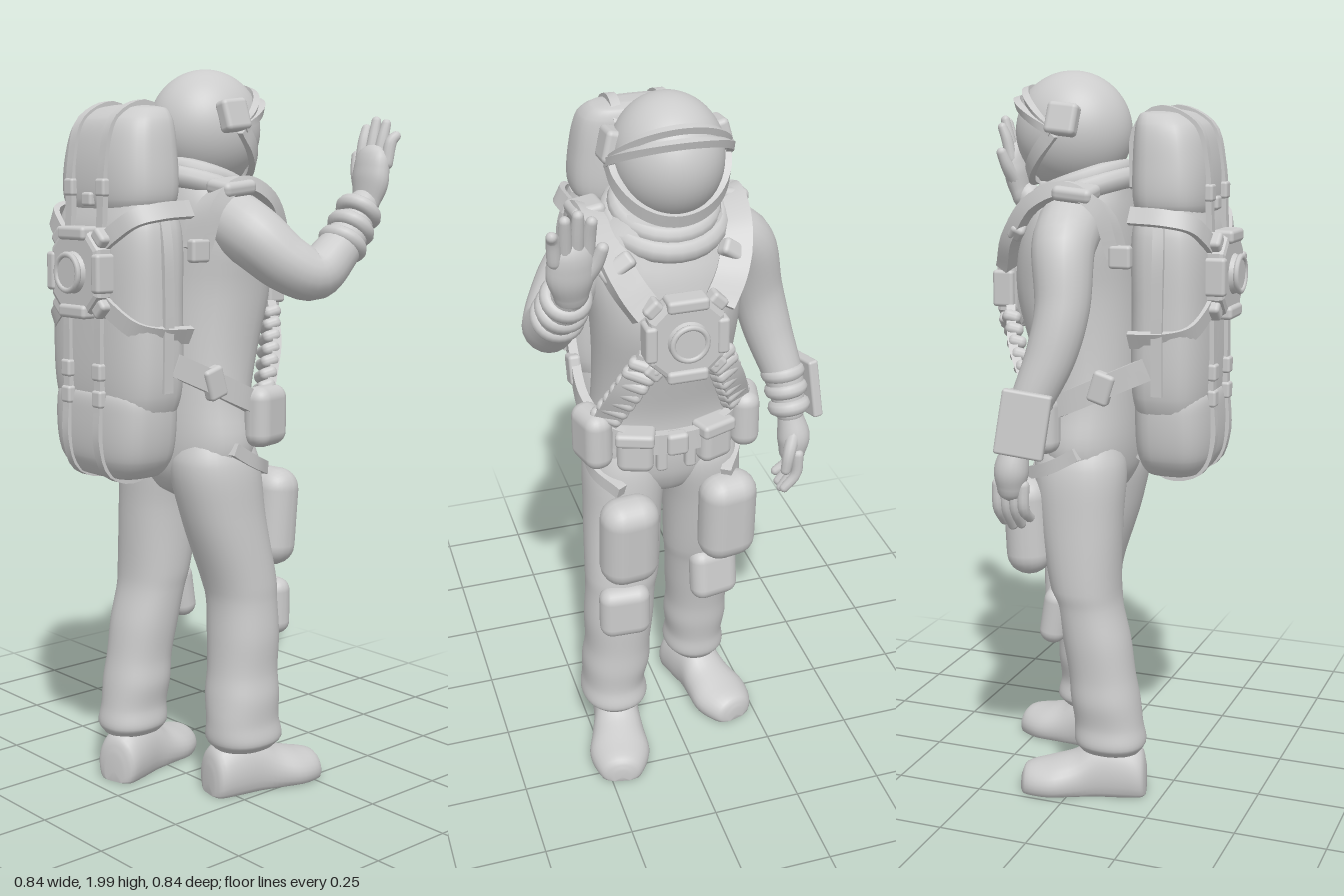
import * as THREE from 'three';
import { toCreasedNormals } from 'three/addons/utils/BufferGeometryUtils.js';
import { RoundedBoxGeometry } from 'three/addons/geometries/RoundedBoxGeometry.js';

const V = (x, y, z) => new THREE.Vector3(x, y, z);
const material = new THREE.MeshStandardMaterial({ color: 0xcccccc, roughness: 0.8 });
const CX = 0.015; // body centre line

export function createModel() {
  const model = new THREE.Group();
  const add = (name, geo, pos = [0, 0, 0], rot = [0, 0, 0], parent = model) => {
    const mesh = new THREE.Mesh(geo, material);
    mesh.name = name;
    mesh.position.set(...pos);
    mesh.rotation.set(...rot);
    parent.add(mesh);
    return mesh;
  };
  const box = (name, size, pos, rot, parent, r = 0.3) =>
    add(name, new RoundedBoxGeometry(...size, 3, Math.min(...size) * r), pos, rot, parent);

  // Closed skin over a list of equal rings
  const skin = (rings) => {
    const n = rings[0].length, p = [], idx = [];
    rings.forEach((r) => r.forEach((v) => p.push(v.x, v.y, v.z)));
    for (let i = 0; i < rings.length - 1; i++) for (let j = 0; j < n; j++) {
      const a = i * n + j, b = i * n + (j + 1) % n;
      idx.push(a, a + n, b, b, a + n, b + n);
    }
    [0, rings.length - 1].forEach((k) => {
      const c = rings[k].reduce((s, v) => s.add(v), V(0, 0, 0)).divideScalar(n), ci = p.length / 3;
      p.push(c.x, c.y, c.z);
      for (let j = 0; j < n; j++) {
        const a = k * n + j, b = k * n + (j + 1) % n;
        if (k) idx.push(ci, b, a); else idx.push(ci, a, b);
      }
    });
    const g = new THREE.BufferGeometry();
    g.setAttribute('position', new THREE.Float32BufferAttribute(p, 3));
    g.setIndex(idx);
    g.computeVertexNormals();
    return g;
  };

  // Upright body from horizontal sections [y, cx, cz, rx, rz], lowest first
  const loft = (name, sections, power = 1, steps = 40) => {
    const mid = new THREE.CatmullRomCurve3(sections.map((s) => V(s[1], s[0], s[2])));
    const rad = new THREE.CatmullRomCurve3(sections.map((s) => V(s[3], s[4], s[0])));
    const bend = (c) => Math.sign(c) * Math.abs(c) ** power;
    const rings = [];
    for (let i = 0; i <= steps; i++) {
      const c = mid.getPoint(i / steps), r = rad.getPoint(i / steps);
      rings.push(Array.from({ length: 32 }, (_, j) => {
        const a = j / 32 * Math.PI * 2;
        return V(c.x + r.x * bend(Math.cos(a)), c.y, c.z + r.y * bend(Math.sin(a)));
      }));
    }
    return add(name, skin(rings));
  };

  // Round-ended limb through points [x, y, z, radius]
  const limb = (name, pts, steps = 24, n = 20) => {
    const curve = new THREE.CatmullRomCurve3(pts.map((q) => V(q[0], q[1], q[2])));
    const radii = new THREE.CatmullRomCurve3(pts.map((q, i) => V(q[3], i, 0)));
    const { tangents, normals, binormals } = curve.computeFrenetFrames(steps);
    const rings = [];
    const ring = (i, scale, shift) => {
      const t = curve.getUtoTmapping(i / steps), r = radii.getPoint(t).x;
      const c = curve.getPoint(t).addScaledVector(tangents[i], shift * r);
      rings.push(Array.from({ length: n }, (_, j) => {
        const a = j / n * Math.PI * 2;
        return c.clone().addScaledVector(normals[i], Math.cos(a) * r * scale)
          .addScaledVector(binormals[i], -Math.sin(a) * r * scale);
      }));
    };
    for (const a of [1.5, 1.1, 0.7, 0.35]) ring(0, Math.cos(a), -Math.sin(a));
    for (let i = 0; i <= steps; i++) ring(i, 1, 0);
    for (const a of [0.35, 0.7, 1.1, 1.5]) ring(steps, Math.cos(a), Math.sin(a));
    return add(name, skin(rings));
  };

  // Flat band along a path, its width lying along the side vector
  const strap = (name, pts, side, width, thick, steps = 20) => {
    const curve = new THREE.CatmullRomCurve3(pts.map((q) => V(...q)));
    const rings = [];
    for (let i = 0; i <= steps; i++) {
      const T = curve.getTangentAt(i / steps), c = curve.getPointAt(i / steps);
      const u = V(...side).addScaledVector(T, -V(...side).dot(T)).normalize();
      const v = u.clone().cross(T);
      rings.push([[1, 1], [-1, 1], [-1, -1], [1, -1]].map(([a, b]) =>
        c.clone().addScaledVector(u, a * width / 2).addScaledVector(v, b * thick / 2)));
    }
    return add(name, toCreasedNormals(skin(rings), 0.7));
  };
  const ringAt = (name, pos, dir, r, tube) => {
    const m = add(name, new THREE.TorusGeometry(r, tube, 10, 28), pos);
    m.quaternion.setFromUnitVectors(V(0, 0, 1), V(...dir).normalize());
  };

  // Suit body and legs
  loft('torso', [[0.845, CX, 0, 0.04, 0.05], [0.87, CX, 0, 0.1, 0.09], [0.93, CX, 0, 0.19, 0.12],
    [1.0, CX, 0, 0.214, 0.13], [1.12, CX, 0, 0.195, 0.13], [1.26, CX, -0.02, 0.19, 0.145],
    [1.42, CX, -0.045, 0.2, 0.16], [1.55, CX, -0.04, 0.215, 0.15], [1.64, CX, -0.03, 0.2, 0.13],
    [1.71, CX, -0.03, 0.13, 0.115]], 0.9);
  loft('forwardLeg', [[0.14, 0.18, -0.06, 0.075, 0.09], [0.165, 0.18, -0.06, 0.096, 0.11],
    [0.22, 0.18, -0.055, 0.09, 0.106], [0.29, 0.172, -0.06, 0.098, 0.104], [0.36, 0.167, -0.065, 0.094, 0.098],
    [0.46, 0.163, -0.07, 0.1, 0.097], [0.56, 0.156, -0.07, 0.1, 0.095], [0.61, 0.15, -0.065, 0.105, 0.1],
    [0.8, 0.133, -0.02, 0.11, 0.118], [0.95, 0.12, 0, 0.112, 0.126], [1.03, 0.12, 0, 0.08, 0.1]], 0.92, 60);
  loft('rearLeg', [[0.14, -0.12, 0.1, 0.07, 0.085], [0.165, -0.12, 0.1, 0.09, 0.1],
    [0.22, -0.12, 0.095, 0.085, 0.096], [0.29, -0.12, 0.085, 0.093, 0.096], [0.36, -0.12, 0.075, 0.09, 0.092],
    [0.46, -0.118, 0.058, 0.097, 0.093], [0.56, -0.115, 0.035, 0.102, 0.09], [0.61, -0.115, 0.025, 0.108, 0.095],
    [0.8, -0.108, 0.008, 0.11, 0.115], [0.95, -0.093, 0, 0.112, 0.126], [1.03, -0.09, 0, 0.08, 0.1]], 0.92, 60);

  // Boots: lengthwise cross-sections with a flat sole [z, half width, height]
  const boot = (name, x, z, turn) => {
    const outline = new THREE.CatmullRomCurve3([[-0.255, 0.025, 0.05], [-0.24, 0.06, 0.08], [-0.17, 0.088, 0.1],
      [-0.1, 0.078, 0.125], [-0.04, 0.068, 0.17], [0.03, 0.068, 0.17], [0.085, 0.062, 0.14], [0.1, 0.03, 0.09]]
      .map((q) => V(...q)));
    const rings = outline.getPoints(28).map((q) => Array.from({ length: 28 }, (_, j) => {
      const a = j / 28 * Math.PI * 2;
      return V(-q.y * Math.cos(a), Math.max(0.01, q.z * (0.4 + 0.6 * Math.sin(a))), q.x);
    }));
    add(name, skin(rings), [x, 0, z], [0, turn, 0]);
  };
  boot('forwardBoot', 0.172, -0.05, -0.2);
  boot('rearBoot', -0.115, 0.1, 0.28);

  // Thigh pouches and knee pads
  box('forwardThighPouch', [0.165, 0.275, 0.125], [0.155, 0.78, -0.172], [-0.08, 0.1, 0], model, 0.48);
  box('rearThighPouch', [0.165, 0.275, 0.125], [-0.142, 0.78, -0.132], [-0.05, 0.15, 0], model, 0.48);
  box('forwardKneePad', [0.145, 0.16, 0.075], [0.168, 0.53, -0.16], [0, -0.05, 0], model, 0.48);
  box('rearKneePad', [0.145, 0.16, 0.075], [-0.13, 0.53, -0.055], [0.15, 0.2, 0], model, 0.48);

  // Helmet: visor ball, hood shells, brim and chin frame
  const helmet = new THREE.Group();
  helmet.name = 'helmet';
  helmet.position.set(0.01, 1.84, -0.06);
  helmet.scale.set(0.145, 0.16, 0.162);
  model.add(helmet);
  add('visor', new THREE.SphereGeometry(0.97, 40, 28), [0, 0, 0], [0, 0, 0], helmet);
  const hood = new THREE.SphereGeometry(1, 40, 20, 0, Math.PI * 2, 0, Math.PI * 0.5);
  add('hoodTop', hood, [0, 0, 0], [0.48, 0, 0], helmet);
  add('hoodBack', hood, [0, 0, 0], [2.1, 0, 0], helmet);
  const frame = (name, rise, grow, w) => strap(name, Array.from({ length: 11 }, (_, i) => {
    const a = i / 10 * Math.PI, f = Math.sin(a);
    return [0.01 + 0.148 * grow * Math.cos(a), 1.84 + rise * f,
      -0.06 - f * grow * Math.sqrt(1 - (rise / 0.165) ** 2) * 0.162];
  }), [0, 1, -0.3], w, 0.018, 32);
  frame('visorBrim', 0.085, 1.06, 0.02);
  frame('visorUpperBand', 0.112, 1.02, 0.018);
  frame('chinFrame', -0.125, 1.03, 0.035);
  for (const s of [-1, 1]) box('earBox', [0.045, 0.085, 0.085], [0.01 + s * 0.142, 1.875, -0.035], [0.1, 0, s * 0.25], model, 0.3);
  [[1.705, 0.12, 0.026], [1.675, 0.138, 0.03]].forEach(([y, r, t]) =>
    ringAt('neckCollar', [0.012, y, -0.035], [0, 1, -0.36], r, t));

  // Lowered arm with wrist rings, forearm console and hand
  limb('loweredArm', [[-0.14, 1.6, -0.01, 0.088], [-0.215, 1.55, 0.0, 0.083], [-0.263, 1.4, 0.015, 0.072],
    [-0.293, 1.28, -0.005, 0.066], [-0.33, 1.14, -0.055, 0.053], [-0.338, 1.06, -0.08, 0.042]], 30);
  [1.165, 1.12, 1.072].forEach((y, i) => ringAt('loweredWristRing',
    [-0.325 - i * 0.006, y, -0.05 - i * 0.014], [-0.12, -1, -0.3], 0.04 - i * 0.001, 0.022));
  box('forearmConsole', [0.03, 0.17, 0.13], [-0.393, 1.115, -0.042], [0.15, 0.2, -0.1], model, 0.25);
  limb('loweredPalm', [[-0.34, 1.04, -0.085, 0.036], [-0.348, 0.98, -0.095, 0.046], [-0.345, 0.935, -0.098, 0.038]], 10);
  for (let i = 0; i < 4; i++) {
    const z = -0.134 + i * 0.024, d = [0.012, 0, 0.006, 0.025][i];
    limb('loweredFinger', [[-0.348, 0.94, z, 0.0165], [-0.345, 0.875, z, 0.0155], [-0.313, 0.822 + d, z + 0.002, 0.0135]], 8, 10);
  }
  limb('loweredThumb', [[-0.34, 1.0, -0.115, 0.021], [-0.32, 0.95, -0.138, 0.018], [-0.312, 0.9, -0.14, 0.015]], 8, 10);

  // Raised arm with wrist rings and waving hand
  limb('raisedArm', [[0.16, 1.6, -0.02, 0.088], [0.24, 1.56, -0.03, 0.085], [0.31, 1.49, -0.085, 0.076],
    [0.347, 1.462, -0.145, 0.068], [0.35, 1.51, -0.215, 0.062], [0.342, 1.59, -0.3, 0.05], [0.338, 1.64, -0.335, 0.042]], 36);
  [[1.54, -0.25], [1.58, -0.285], [1.622, -0.318]].forEach(([y, z], i) =>
    ringAt('raisedWristRing', [0.348 - i * 0.004, y, z], [-0.07, 0.75, -0.65], 0.047 - i * 0.002, 0.022));
  limb('raisedPalm', [[0.335, 1.65, -0.345, 0.044], [0.338, 1.7, -0.362, 0.058], [0.338, 1.745, -0.373, 0.056]], 10)
    .geometry.translate(0, 0, 0.365).scale(1, 1, 0.62).translate(0, 0, -0.365);
  for (let i = 0; i < 4; i++) {
    const x = 0.298 + i * 0.027, tip = 0.292 + i * 0.032, y = [1.85, 1.87, 1.862, 1.83][i], z = -0.004 * i;
    limb('raisedFinger', [[x, 1.75, -0.37 + z, 0.0175], [(x + tip) / 2, 1.81, -0.383 + z, 0.0165], [tip, y - 0.008, -0.395 + z, 0.0135]], 8, 12);
  }
  limb('raisedThumb', [[0.31, 1.685, -0.36, 0.024], [0.28, 1.73, -0.375, 0.019], [0.266, 1.77, -0.387, 0.015]], 8, 12);

  // Backpack bags
  loft('packBody', [[1.08, CX, 0.25, 0.17, 0.085], [1.16, CX, 0.25, 0.2, 0.103], [1.4, CX, 0.25, 0.205, 0.105],
    [1.58, CX, 0.245, 0.195, 0.103], [1.66, CX, 0.24, 0.165, 0.085]], 0.65);
  loft('packTopBag', [[1.61, CX, 0.24, 0.14, 0.08], [1.66, CX, 0.24, 0.175, 0.1], [1.78, CX, 0.236, 0.17, 0.1],
    [1.86, CX, 0.225, 0.15, 0.085], [1.89, CX, 0.21, 0.12, 0.06], [1.9, CX, 0.205, 0.05, 0.025]], 0.7);
  loft('packBottomBag', [[0.925, CX, 0.255, 0.06, 0.03], [0.94, CX, 0.255, 0.13, 0.075], [0.99, CX, 0.258, 0.17, 0.1],
    [1.1, CX, 0.258, 0.187, 0.106], [1.16, CX, 0.255, 0.18, 0.1], [1.18, CX, 0.25, 0.15, 0.08]], 0.65);

  // Compression straps over the pack, with buckles
  for (const x of [-0.055, 0.078]) {
    strap('packStrap', [[x, 1.7, 0.137], [x, 1.85, 0.143], [x, 1.903, 0.205], [x, 1.86, 0.308], [x, 1.76, 0.338],
      [x, 1.62, 0.347], [x, 1.4, 0.357], [x, 1.16, 0.36], [x, 1.03, 0.365], [x, 0.95, 0.335], [x, 0.925, 0.25],
      [x, 0.98, 0.155]], [1, 0, 0], 0.026, 0.016, 60);
    for (const y of [1.69, 1.22, 1.15]) box('packBuckle', [0.038, 0.045, 0.025], [x, y, y > 1.5 ? 0.345 : 0.362]);
  }
  box('packCentreBuckle', [0.04, 0.035, 0.025], [CX, 1.66, 0.34]);

  // Octagonal control unit, used on the back and the chest
  const unit = (name, pos, turn) => {
    const g = new THREE.Group();
    g.name = name;
    g.position.set(...pos);
    g.rotation.y = turn;
    model.add(g);
    const w = 0.085, h = 0.095, c = 0.04;
    const oct = new THREE.Shape([[w, h - c], [w - c, h], [c - w, h], [-w, h - c], [-w, c - h], [c - w, -h], [w - c, -h], [w, c - h]]
      .map(([a, b]) => new THREE.Vector2(a, b)));
    add('unitCase', new THREE.ExtrudeGeometry(oct, { depth: 0.03, bevelSize: 0.014, bevelThickness: 0.014, bevelSegments: 2 }), [0, 0, 0], [0, 0, 0], g);
    add('unitDial', new THREE.CylinderGeometry(0.045, 0.055, 0.022, 28), [0, 0, 0.053], [Math.PI / 2, 0, 0], g);
    add('unitDialRim', new THREE.TorusGeometry(0.046, 0.008, 8, 28), [0, 0, 0.062], [0, 0, 0], g);
    for (const s of [-1, 1]) {
      box('unitSideGrip', [0.032, 0.1, 0.06], [s * 0.095, 0, 0.02], [0, 0, 0], g);
      box('unitBar', [0.11, 0.035, 0.06], [0, s * 0.1, 0.025], [0, 0, 0], g);
      for (const t of [-1, 1]) box('unitCorner', [0.05, 0.035, 0.045], [s * 0.085, t * 0.09, 0.012], [0, 0, -s * t * 0.75], g);
    }
  };
  unit('backUnit', [CX, 1.475, 0.35], 0);
  unit('chestUnit', [CX, 1.42, -0.208], Math.PI);

  // Paired harness, belt and pouches
  for (const s of [-1, 1]) {
    const m = ([x, y, z]) => [CX + s * x, y, z];
    const band = (name, pts, side, w, t, n) => strap(name, pts.map(m), [side[0] * s, side[1], side[2]], w, t, n);
    for (const t of [-1, 1]) band('packDiagonalStrap', [[0.07, 1.475 + t * 0.07, 0.356], [0.12, 1.475 + t * 0.105, 0.348],
      [0.172, 1.475 + t * 0.14, 0.325], [0.2, 1.475 + t * 0.155, 0.265], [0.2, 1.475 + t * 0.16, 0.17]], [-t * 0.5, 1, 0], 0.045, 0.016);
    band('packSideStrap', [[0.168, 1.65, 0.24], [0.202, 1.55, 0.25], [0.208, 1.4, 0.25], [0.203, 1.17, 0.25]], [0, 0, 1], 0.03, 0.014);
    box('packSideBuckle', [0.03, 0.06, 0.06], m([0.21, 1.53, 0.15]));
    band('shoulderStrap', [[0.18, 1.53, 0.13], [0.186, 1.64, 0.09], [0.185, 1.69, 0.0], [0.175, 1.655, -0.1],
      [0.145, 1.57, -0.17], [0.095, 1.49, -0.208]], [1, 0.3, 0], 0.08, 0.038, 28);
    box('shoulderPad', [0.09, 0.04, 0.11], m([0.19, 1.69, 0.02]), [0.1, 0, -s * 0.15], model, 0.4);
    box('shoulderBuckle', [0.095, 0.045, 0.04], m([0.155, 1.6, -0.155]), [0.5, s * -0.4, -s * 0.5]);
    band('lowerHarness', [[0.085, 1.36, -0.21], [0.14, 1.26, -0.18], [0.185, 1.14, -0.115]], [1, 0.5, 0.3], 0.07, 0.025);
    for (let i = 0; i < 7; i++) {
      const k = i / 6;
      box('harnessRib', [0.088, 0.034, 0.05], m([0.1 + 0.08 * k, 1.34 - 0.19 * k, -0.207 + 0.075 * k + 0.02 * k * k]), [0.3, -s * 0.4, s * 0.4], model, 0.45);
    }
    band('hipBelt', [[0.195, 1.24, 0.22], [0.21, 1.19, 0.11], [0.214, 1.13, -0.02], [0.17, 1.09, -0.11],
      [0.08, 1.07, -0.15], [0, 1.065, -0.155]], [0, 1, 0], 0.06, 0.025, 30);
    box('hipBeltBuckle', [0.035, 0.085, 0.06], m([0.215, 1.185, 0.1]), [0.3, 0, 0]);
    box('sidePouch', [0.08, 0.165, 0.135], m([0.215, 1.08, -0.085]), [0, s * 0.25, 0], model, 0.45);
    box('frontPouch', [0.1, 0.115, 0.06], m([0.11, 1.045, -0.14]), [0, -s * 0.35, 0], model, 0.4);
    box('pouchFlap', [0.106, 0.04, 0.07], m([0.11, 1.09, -0.142]), [0, -s * 0.35, 0]);
    band('thighStrap', [[0.21, 1.0, 0.03], [0.2, 0.95, -0.06], [0.15, 0.92, -0.14]], [0, 1, 0], 0.035, 0.03);
    box('beltLoop', [0.03, 0.1, 0.03], m([0.04, 1.03, -0.15]));
  }
  box('beltBuckle', [0.06, 0.065, 0.04], [CX, 1.065, -0.162]);
  return model;
}
